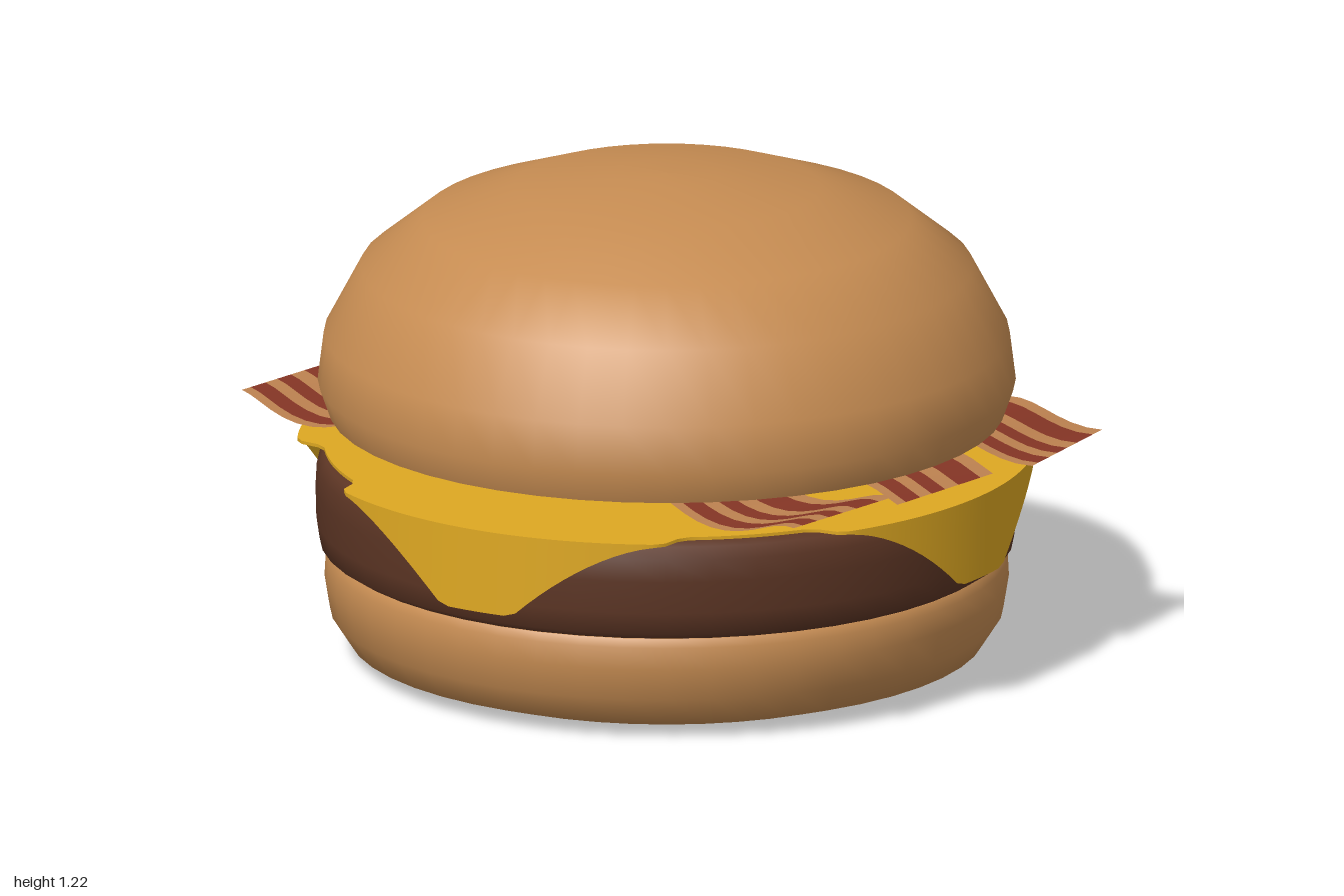
import * as THREE from 'three';
import { toCreasedNormals } from 'three/addons/utils/BufferGeometryUtils.js';

const CENTRE_X = 0.035;

function paint(name, color, side = THREE.FrontSide) {
  const m = new THREE.MeshStandardMaterial({ color, side });
  m.name = name;
  return m;
}

// Sheet of quads whose points come from fn(u, v), both 0..1
function sheet(nu, nv, fn) {
  const pos = [], idx = [];
  for (let j = 0; j <= nv; j++)
    for (let i = 0; i <= nu; i++) pos.push(...fn(i / nu, j / nv));
  for (let j = 0; j < nv; j++)
    for (let i = 0; i < nu; i++) {
      const a = j * (nu + 1) + i, b = a + nu + 1;
      idx.push(a, b, a + 1, b, b + 1, a + 1);
    }
  const g = new THREE.BufferGeometry();
  g.setAttribute('position', new THREE.Float32BufferAttribute(pos, 3));
  g.setIndex(idx);
  g.computeVertexNormals();
  return g;
}

// Round part: a smooth revolved side with flat caps where the profile is open
function roundPart(name, material, profile) {
  const group = new THREE.Group();
  group.name = name;
  const add = (part, pts) => {
    const g = new THREE.LatheGeometry(pts.map(p => new THREE.Vector2(...p)), 48);
    const mesh = new THREE.Mesh(g, material);
    mesh.name = name + part;
    group.add(mesh);
  };
  const first = profile[0], last = profile[profile.length - 1];
  add('Side', profile);
  add('Underside', [[0, first[1]], first]);
  if (last[0] > 0) add('Top', [last, [0, last[1]]]);
  group.position.x = CENTRE_X;
  return group;
}

// Square slice with four cut corners folded down over the patty
function cheeseSlice(material) {
  const geometry = sheet(180, 4, (u, v) => {
    const t = (u - Math.floor(u * 4) / 4) * Math.PI * 2 - Math.PI / 4;
    const a = u * Math.PI * 2 - Math.PI / 4 - 0.153;
    const edge = 0.905 - 0.065 * THREE.MathUtils.smoothstep(Math.abs(t), 0.52, 0.6);
    const w = Math.abs(Math.sin(t)) * 0.905;
    const drop = 0.2 * Math.pow(THREE.MathUtils.clamp((0.45 - w) / 0.35, 0, 1), 1.6);
    const fall = Math.max(0, (v - 0.25) / 0.75);
    const r = edge * Math.min(1, v * 4);
    return [Math.sin(a) * r, 0.53 - (drop + 0.008) * fall, Math.cos(a) * r];
  });
  const mesh = new THREE.Mesh(toCreasedNormals(geometry, 0.8), material);
  mesh.name = 'cheeseSlice';
  mesh.position.x = CENTRE_X;
  return mesh;
}

// Wavy rasher made of lengthwise bands of fat and meat
function baconRasher(name, from, to, height, phase, fat, meat) {
  const group = new THREE.Group();
  group.name = name;
  const start = new THREE.Vector2(...from);
  const along = new THREE.Vector2(...to).sub(start);
  const across = new THREE.Vector2(-along.y, along.x).normalize();
  const cuts = [0, 0.13, 0.36, 0.5, 0.64, 0.76, 0.91, 1];
  for (let k = 0; k < cuts.length - 1; k++) {
    const geometry = sheet(48, 2, (u, v) => {
      const s = THREE.MathUtils.lerp(cuts[k], cuts[k + 1], v);
      const wave = u * Math.PI * 8 + phase;
      const side = (s - 0.5) * 0.36 + 0.02 * Math.sin(wave);
      return [
        start.x + along.x * u + across.x * side,
        height + 0.025 * Math.cos(wave),
        start.y + along.y * u + across.y * side,
      ];
    });
    const mesh = new THREE.Mesh(geometry, k % 2 ? meat : fat);
    mesh.name = k % 2 ? 'meatBand' : 'fatBand';
    group.add(mesh);
  }
  return group;
}

export function createModel() {
  const bun = paint('bun', 0xc68c52);
  const patty = paint('patty', 0x5c3524);
  const cheese = paint('cheese', 0xdea822, THREE.DoubleSide);
  const fat = paint('baconFat', 0xbd8250, THREE.DoubleSide);
  const meat = paint('baconMeat', 0x853525, THREE.DoubleSide);

  const model = new THREE.Group();
  model.name = 'burger';

  model.add(
    roundPart('bottomBun', bun, [
      [0.66, 0], [0.78, 0.04], [0.825, 0.11], [0.838, 0.19], [0.835, 0.245], [0.82, 0.265],
    ]),
    roundPart('patty', patty, [
      [0.82, 0.266], [0.85, 0.285], [0.858, 0.34], [0.86, 0.42], [0.857, 0.475], [0.84, 0.505], [0.8, 0.515],
    ]),
    cheeseSlice(cheese),
    baconRasher('backBacon', [-0.83, -0.47], [0.98, -0.28], 0.568, Math.PI, fat, meat),
    baconRasher('frontBacon', [-0.94, 0.05], [0.77, 0.65], 0.58, 0, fat, meat),
    baconRasher('middleBacon', [-0.82, -0.31], [0.89, 0.25], 0.575, Math.PI / 2, fat, meat),
    roundPart('topBun', bun, [
      [0.828, 0.614], [0.855, 0.69], [0.84, 0.81], [0.75, 0.98],
      [0.6, 1.1], [0.375, 1.18], [0.13, 1.212], [0, 1.215],
    ]),
  );
  return model;
}
